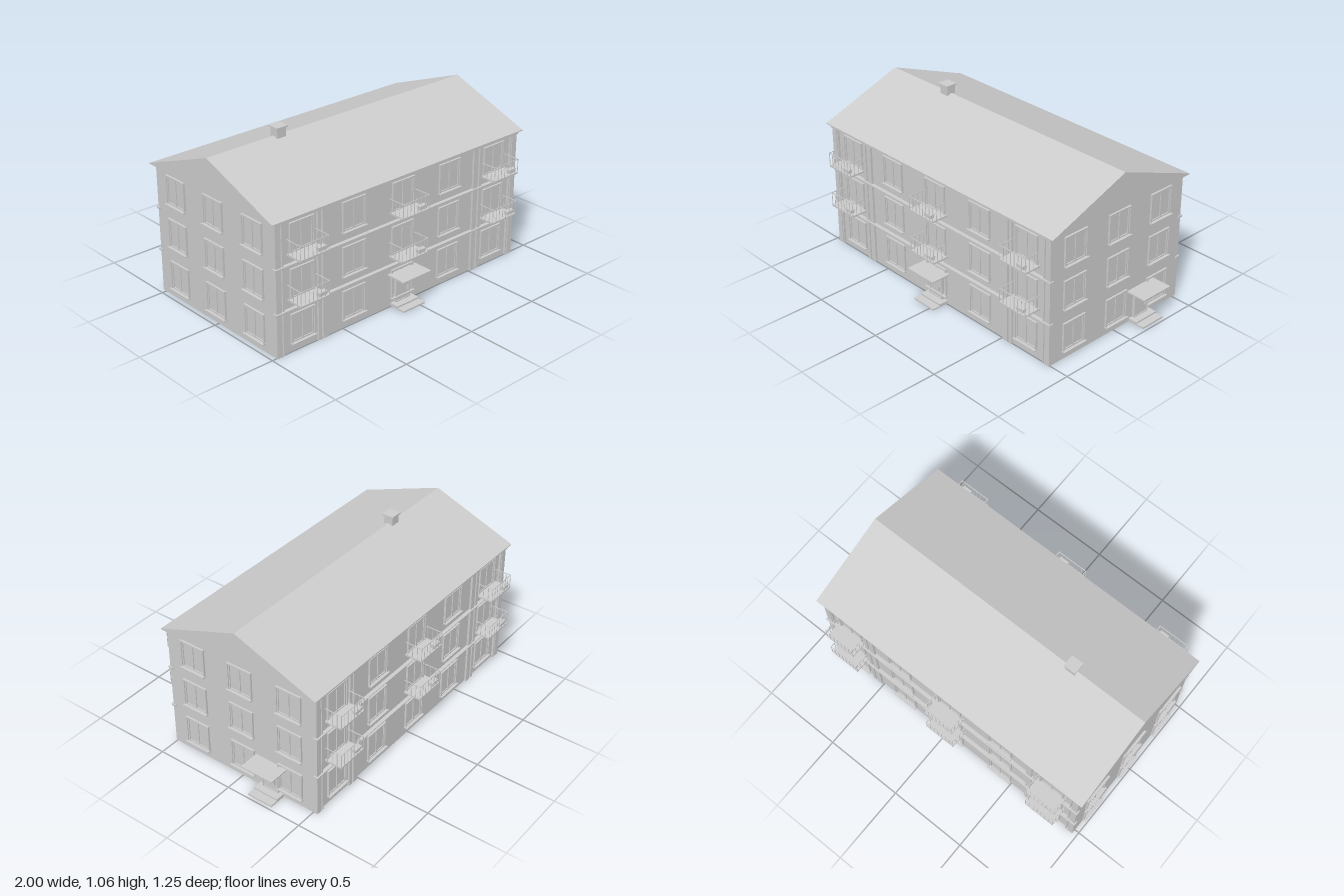
import * as THREE from 'three';

const grey = new THREE.MeshStandardMaterial({ color: 0xcccccc });
grey.name = 'plaster grey';

const HALF_X = 0.92, HALF_Z = 0.505, BAY = 0.367;
const FLOORS = [0.047, 0.315, 0.582];

function add(parent, name, geometry) {
  const mesh = new THREE.Mesh(geometry, grey);
  mesh.name = name;
  parent.add(mesh);
  return mesh;
}

// box given by its x, y and z ranges
function box(parent, name, x0, x1, y0, y1, z0, z1) {
  const mesh = add(parent, name, new THREE.BoxGeometry(x1 - x0, y1 - y0, z1 - z0));
  mesh.position.set((x0 + x1) / 2, (y0 + y1) / 2, (z0 + z1) / 2);
  return mesh;
}

function rect(target, x0, y0, x1, y1) {
  target.moveTo(x0, y0);
  target.lineTo(x1, y0);
  target.lineTo(x1, y1);
  target.lineTo(x0, y1);
  target.closePath();
  return target;
}

// rectangular surround with evenly divided openings
function frameGeometry(w, h, border, panes, depth) {
  const shape = rect(new THREE.Shape(), -w / 2, 0, w / 2, h);
  const pane = (w - border * (panes + 1)) / panes;
  for (let i = 0; i < panes; i++) {
    const x = -w / 2 + border + i * (pane + border);
    shape.holes.push(rect(new THREE.Path(), x, border, x + pane, h - border));
  }
  return new THREE.ExtrudeGeometry(shape, { depth, bevelEnabled: false });
}

// pieces below are built on a wall plane at z = 0, facing +z
const surround = frameGeometry(0.168, 0.183, 0.008, 1, 0.012);
const sash = frameGeometry(0.152, 0.167, 0.008, 2, 0.006);

function makeWindow(parent, x, y) {
  const g = new THREE.Group();
  g.name = 'window';
  g.position.set(x, y, 0);
  add(g, 'windowSurround', surround);
  add(g, 'windowSash', sash).position.y = 0.008;
  box(g, 'windowSill', -0.087, 0.087, 0, 0.008, 0, 0.024);
  parent.add(g);
}

function makeBalcony(parent, x, y) {
  const g = new THREE.Group();
  g.name = 'balcony';
  g.position.set(x, y, 0);
  const w = 0.1, d = 0.11, top = 0.094, t = 0.0015;
  box(g, 'balconySlab', -w, w, 0, 0.01, 0, d);
  // railing: front, then both sides
  box(g, 'frontRail', -w, w, top - 0.004, top, d - 0.004, d);
  for (let i = 0; i <= 7; i++) {
    const bx = -w + 0.002 + i * (2 * w - 0.004) / 7;
    box(g, 'railBar', bx - t, bx + t, 0.01, top, d - 0.0035, d - 0.0005);
  }
  for (const s of [-1, 1]) {
    const rx = s * (w - 0.002);
    box(g, 'sideRail', rx - 0.002, rx + 0.002, top - 0.004, top, 0, d);
    for (let i = 0; i < 3; i++) {
      const bz = 0.015 + i * 0.032;
      box(g, 'railBar', rx - t, rx + t, 0.01, top, bz - t, bz + t);
    }
  }
  box(g, 'flowerBox', 0.028, 0.082, 0.018, 0.036, d - 0.026, d - 0.002);
  box(g, 'flowerBoxRim', 0.026, 0.084, 0.036, 0.041, d - 0.028, d);
  parent.add(g);
}

function makeEntrance(parent, x) {
  const g = new THREE.Group();
  g.name = 'entrance';
  g.position.x = x;
  box(g, 'lowerStep', -0.083, 0.083, 0, 0.01, 0, 0.11);
  box(g, 'upperStep', -0.083, 0.083, 0.01, 0.02, 0, 0.06);
  box(g, 'doorLeaf', -0.047, 0.047, 0.02, 0.178, 0, 0.013);
  add(g, 'doorFrame', frameGeometry(0.11, 0.168, 0.008, 1, 0.018)).position.y = 0.018;
  box(g, 'doorHandle', 0.031, 0.035, 0.07, 0.1, 0.013, 0.024);
  box(g, 'canopy', -0.108, 0.108, 0.202, 0.21, 0, 0.13);
  parent.add(g);
}

// long facade: windows, balconies, pilasters and string courses
function makeLongFacade(parent) {
  for (let i = -2; i <= 2; i++) {
    FLOORS.forEach((y, floor) => {
      makeWindow(parent, i * BAY, y);
      if (floor > 0 && i % 2 === 0) makeBalcony(parent, i * BAY, y);
    });
  }
  for (const s of [-1, 1]) {
    for (const [x, w] of [[0.902, 0.036], [0.872, 0.008], [0.619, 0.022], [0.578, 0.036]]) {
      box(parent, 'pilaster', s * x - w / 2, s * x + w / 2, 0, 0.785, 0, 0.013);
    }
  }
  for (const y of [0.257, 0.522]) {
    box(parent, 'stringCourse', -0.928, 0.928, y, y + 0.007, -0.008, 0.018);
    box(parent, 'stringCourseCap', -0.928, 0.928, y + 0.007, y + 0.012, -0.008, 0.023);
  }
  box(parent, 'cornice', -0.925, 0.925, 0.782, 0.8, -0.005, 0.021);
}

// gable end: a three by three grid of windows
function makeGableFacade(parent) {
  for (const x of [-0.335, 0, 0.335]) for (const y of FLOORS) makeWindow(parent, x, y);
}

function facade(parent, name, angle, distance, build) {
  const g = new THREE.Group();
  g.name = name;
  g.rotation.y = angle;
  g.position.set(Math.sin(angle) * distance, 0, Math.cos(angle) * distance);
  build(g);
  parent.add(g);
  return g;
}

export function createModel() {
  const model = new THREE.Group();
  model.name = 'apartmentBlock';
  const house = new THREE.Group();
  house.name = 'building';
  house.position.set(-0.05, 0, -0.01);
  model.add(house);

  box(house, 'walls', -HALF_X, HALF_X, 0, 0.8, -HALF_Z, HALF_Z);

  // gabled roof with a low eave edge
  const profile = new THREE.Shape();
  profile.moveTo(-0.535, 0.797);
  profile.lineTo(0.535, 0.797);
  profile.lineTo(0.535, 0.803);
  profile.lineTo(0, 1.003);
  profile.lineTo(-0.535, 0.803);
  profile.closePath();
  const roof = add(house, 'roof', new THREE.ExtrudeGeometry(profile, { depth: 1.9, bevelEnabled: false }));
  roof.rotation.y = Math.PI / 2;
  roof.position.x = -0.95;

  // chimney
  box(house, 'chimney', -0.492, -0.43, 0.96, 1.048, -0.028, 0.03);
  box(house, 'chimneyCap', -0.5, -0.422, 1.047, 1.057, -0.036, 0.039);

  const front = facade(house, 'frontFacade', 0, HALF_Z, makeLongFacade);
  facade(house, 'backFacade', Math.PI, HALF_Z, makeLongFacade);
  const side = facade(house, 'leftFacade', Math.PI / 2, HALF_X, makeGableFacade);
  facade(house, 'rightFacade', -Math.PI / 2, HALF_X, makeGableFacade);
  makeEntrance(front, 0);
  makeEntrance(side, 0.2);

  return model;
}
